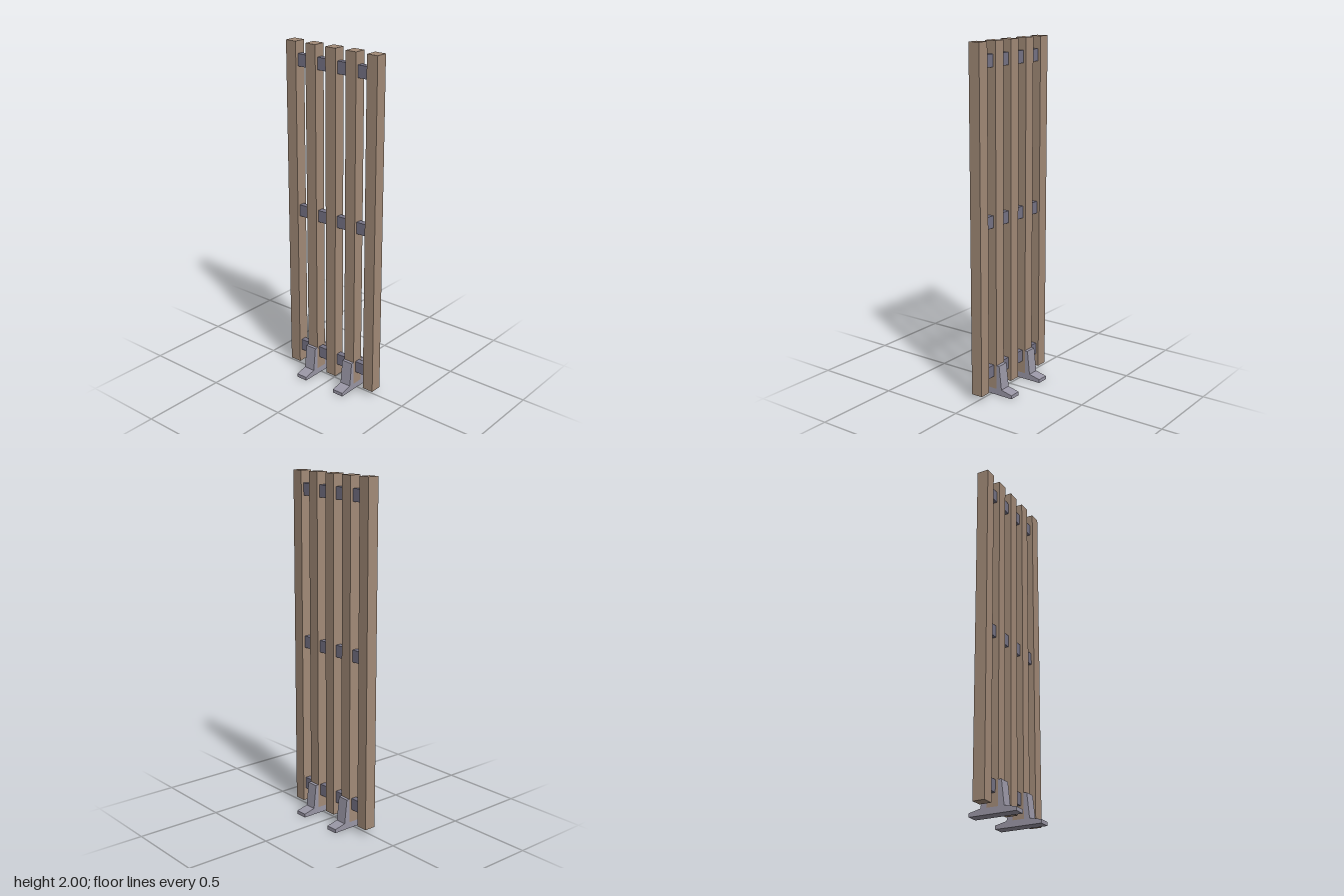
import * as THREE from 'three';

export function createModel() {
  const model = new THREE.Group();
  model.name = 'slattedScreen';

  const material = (name, color) => {
    const m = new THREE.MeshStandardMaterial({ color });
    m.name = name;
    return m;
  };
  const wood = material('wood', 0xa38b78);
  const barMetal = material('barMetal', 0x777486);
  const footMetal = material('footMetal', 0x9a97a6);

  const size = 0.069;      // slat thickness
  const spacing = 0.1387;  // distance between slat centres
  const bottom = 0.036;    // underside of the slats

  const add = (name, geometry, mat, y, z) => {
    const mesh = new THREE.Mesh(geometry, mat);
    mesh.name = name;
    mesh.position.set(0, y, z);
    model.add(mesh);
  };

  // Five upright slats in a row
  const slat = new THREE.BoxGeometry(size, 2 - bottom, size);
  for (let i = -2; i <= 2; i++) add('slat', slat, wood, (2 + bottom) / 2, i * spacing);

  // Short crossbars filling the gaps at three heights
  const bar = new THREE.BoxGeometry(size / 2, size, spacing - size);
  for (const y of [0.144, 1.02, 1.896]) {
    for (let i = -1.5; i <= 1.5; i++) add('crossbar', bar, barMetal, y, i * spacing);
  }

  // Flared feet that cradle the second and fourth slats
  const half = [
    [0.139, 0], [0.139, 0.021], [0.069, 0.037], [0.053, 0.178],
    [size / 2, 0.178], [size / 2, bottom],
  ];
  const mirrored = half.map(([x, y]) => [-x, y]).reverse();
  const outline = new THREE.Shape([...half, ...mirrored].map(([x, y]) => new THREE.Vector2(x, y)));
  const foot = new THREE.ExtrudeGeometry(outline, { depth: size, bevelEnabled: false });
  foot.translate(0, 0, -size / 2);
  for (const side of [-1, 1]) add('foot', foot, footMetal, 0, side * spacing);

  return model;
}
